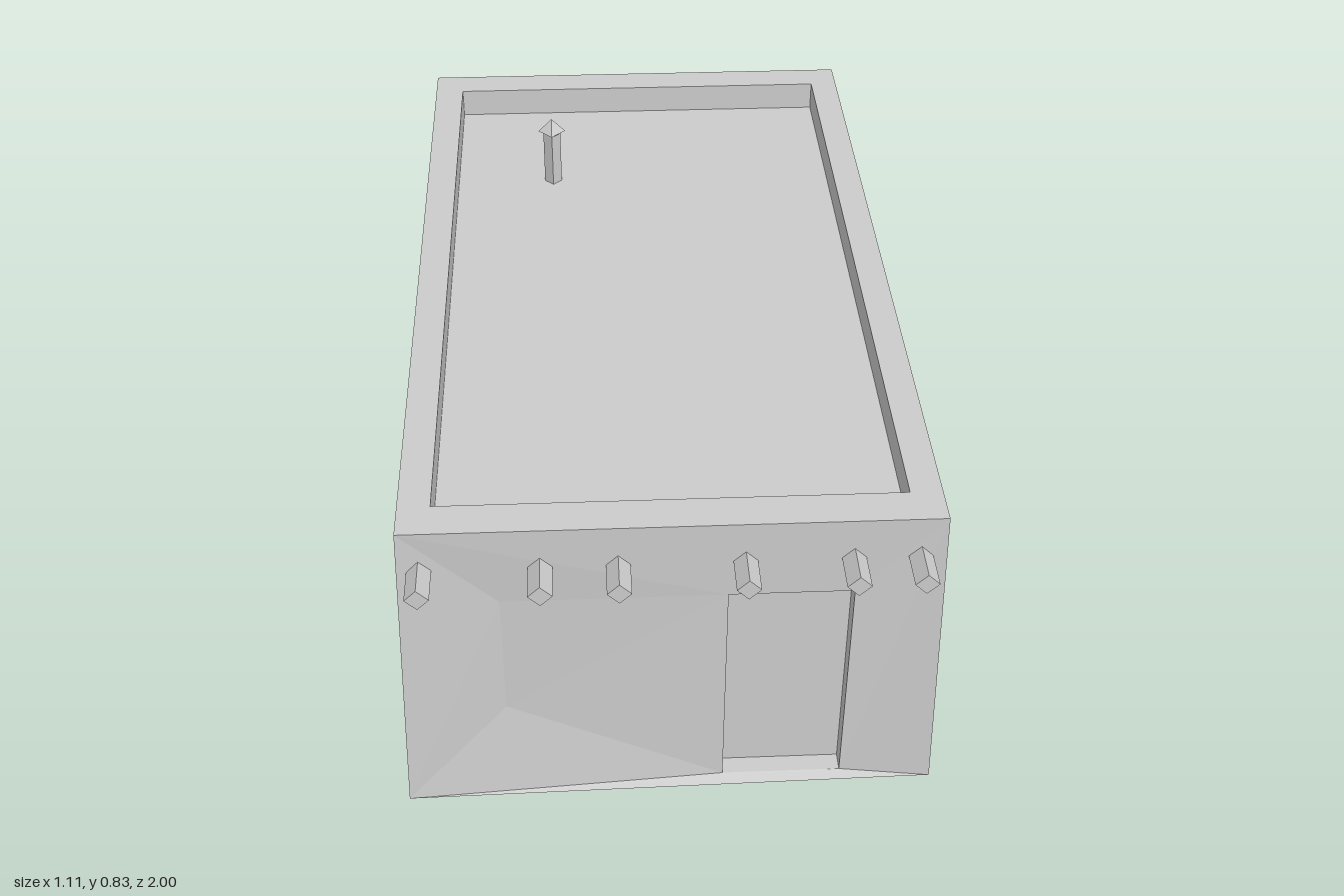
import * as THREE from 'three';

const plaster = new THREE.MeshStandardMaterial({ color: 0xcccccc, flatShading: true });
plaster.name = 'grey plaster';

// flat faces from convex polygons, corners counter-clockwise seen from outside
function faces(name, polygons) {
  const pos = [];
  for (const p of polygons)
    for (let i = 1; i < p.length - 1; i++) pos.push(...p[0], ...p[i], ...p[i + 1]);
  const g = new THREE.BufferGeometry();
  g.setAttribute('position', new THREE.Float32BufferAttribute(pos, 3));
  g.computeVertexNormals();
  const m = new THREE.Mesh(g, plaster);
  m.name = name;
  return m;
}

// walls joining two rings of corners
function band(name, a, b) {
  return faces(name, a.map((p, i) => {
    const j = (i + 1) % a.length;
    return [p, a[j], b[j], b[i]];
  }));
}

// end wall facing +z: flared lower corners, a shallow dent and a recessed doorway
function endWall(name, [A, B, C, D], [x0, x1, z], P, Q) {
  const y0 = 0.015, y1 = 0.54, d = z - 0.04;
  const E = [x0, y0, z], F = [x1, y0, z], G = [x1, y1, z], H = [x0, y1, z];
  const e = [x0, y0, d], f = [x1, y0, d], g = [x1, y1, d], h = [x0, y1, d];
  const wall = new THREE.Group();
  wall.name = name;
  wall.add(
    faces('wallFace', [[A, E, P], [A, P, Q], [A, Q, D], [P, E, H], [P, H, Q], [D, Q, H],
      [D, H, G], [D, G, C], [G, F, C], [F, B, C]]),
    faces('doorstep', [[A, B, F], [A, F, E]]),
    faces('doorFrame', [[E, e, h, H], [F, G, g, f], [H, h, g, G], [E, F, f, e]]),
    faces('door', [[e, f, g, h]])
  );
  return wall;
}

export function createModel() {
  const house = new THREE.Group();
  house.name = 'adobeHouse';

  // corner rings, counter-clockwise from above, starting at front left of the picture plane
  const top = 0.725, roofY = 0.655;
  const base = [[-0.555, 0, 0.945], [0.553, 0, 0.93], [0.55, 0, -0.935], [-0.54, 0, -0.945]];
  const rim = [[-0.53, top, 0.92], [0.53, top, 0.92], [0.53, top, -0.91], [-0.535, top, -0.91]];
  const inner = [[-0.465, top, 0.84], [0.465, top, 0.84], [0.465, top, -0.83], [-0.465, top, -0.83]];
  const roof = inner.map(([x, , z]) => [x, roofY, z]);

  house.add(
    faces('sideWalls', [[base[1], base[2], rim[2], rim[1]], [base[3], base[0], rim[0], rim[3]]]),
    faces('floor', [[...base].reverse()]),
    band('parapetTop', rim, inner),
    band('parapetInside', inner, roof),
    faces('roof', [roof])
  );

  house.add(endWall('frontWall', [base[0], base[1], rim[1], rim[0]], [0.11, 0.36, 0.917],
    [-0.34, 0.235, 0.91], [-0.34, 0.535, 0.912]));

  // back wall is built facing +z and turned round
  const turn = ([x, y, z]) => [-x, y, -z];
  const back = endWall('backWall', [base[2], base[3], rim[3], rim[2]].map(turn), [0.07, 0.3, 0.893],
    [-0.02, 0.2, 0.892], [-0.02, 0.5, 0.897]);
  back.rotation.y = Math.PI;
  house.add(back);

  // square roof beams poking out at both ends
  const beam = new THREE.CylinderGeometry(0.024, 0.024, 0.15, 4).rotateX(Math.PI / 2);
  for (const x of [-0.49, -0.257, -0.106, 0.141, 0.352, 0.482])
    for (const side of [1, -1]) {
      const m = new THREE.Mesh(beam, plaster);
      m.name = 'roofBeam';
      m.position.set(x, 0.63, side * 0.925);
      house.add(m);
    }

  // chimney post with a pointed cap
  const profile = [[0.021, roofY], [0.021, 0.79], [0.033, 0.797], [0, 0.83]];
  const chimney = new THREE.Mesh(
    new THREE.LatheGeometry(profile.map(([r, y]) => new THREE.Vector2(r, y)), 4), plaster);
  chimney.name = 'chimney';
  chimney.position.set(-0.227, 0, -0.48);
  house.add(chimney);

  return house;
}
